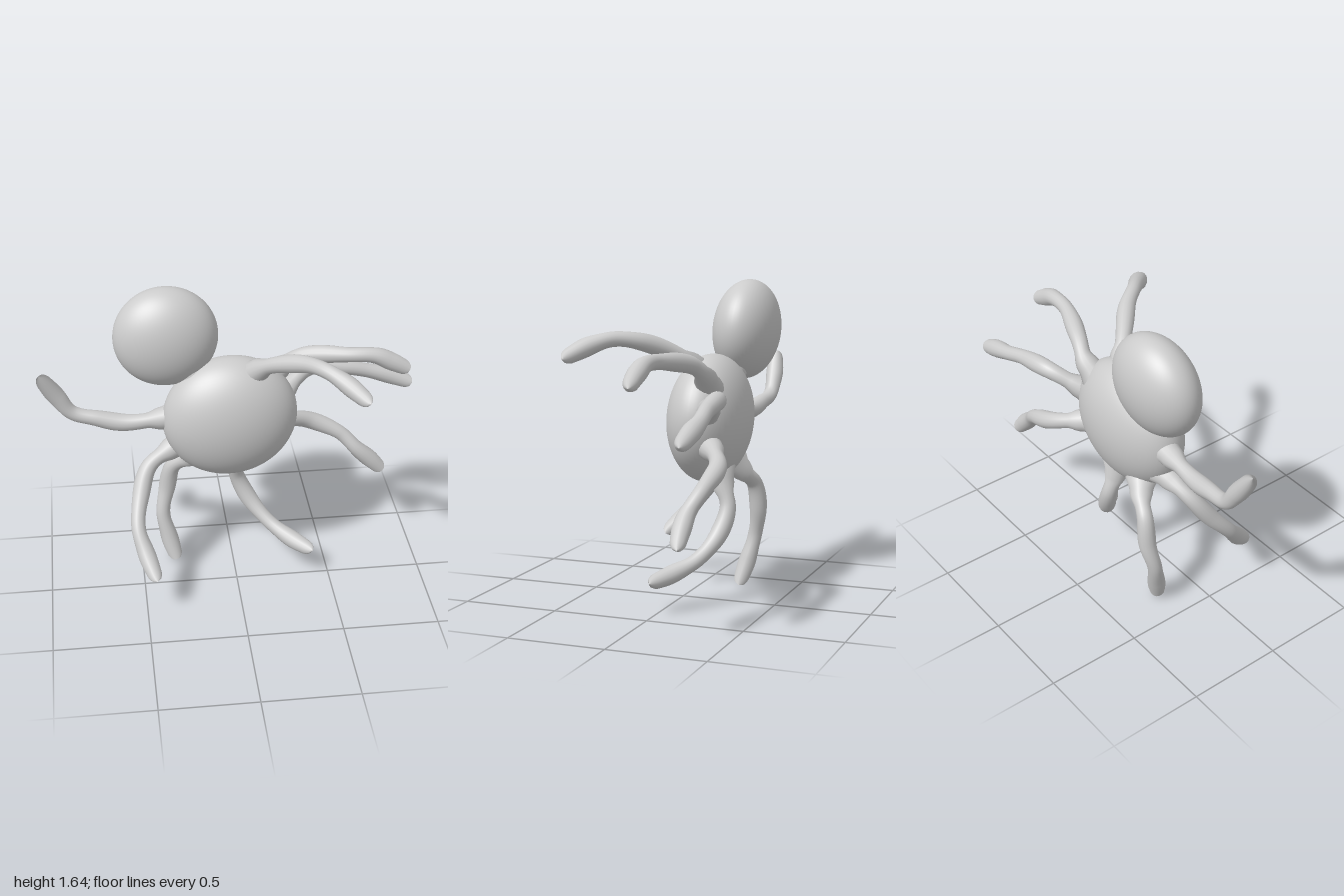
import * as THREE from 'three';

const grey = new THREE.MeshStandardMaterial({ color: 0xcccccc });

// Smooth ellipsoid mass
function blob(name, radii, position, rotation) {
  const mesh = new THREE.Mesh(new THREE.SphereGeometry(1, 56, 40), grey);
  mesh.name = name;
  mesh.scale.set(...radii);
  mesh.position.set(...position);
  mesh.rotation.set(...rotation);
  return mesh;
}

// Leg thickness from root (0) to foot (1): flared root, two swollen segments, narrow joints
const thickness = [[0, 0.085], [0.1, 0.06], [0.2, 0.04], [0.4, 0.047], [0.6, 0.038],
  [0.68, 0.038], [0.84, 0.047], [1, 0.037]];

function radiusAt(t) {
  const i = Math.max(1, thickness.findIndex(([u]) => u >= t));
  const [[a, ra], [b, rb]] = [thickness[i - 1], thickness[i]];
  const r = THREE.MathUtils.lerp(ra, rb, THREE.MathUtils.smoothstep(t, a, b));
  const k = Math.max(0, (t - 0.945) / 0.055);
  return r * Math.sqrt(Math.max(0, 1 - k * k)); // rounded foot
}

// Tube along a curve whose rings are scaled by the thickness profile
function leg(name, points) {
  const curve = new THREE.CatmullRomCurve3(points.map(p => new THREE.Vector3(...p)));
  const rings = 80, sides = 16;
  const geo = new THREE.TubeGeometry(curve, rings, 1, sides);
  const pos = geo.attributes.position, v = new THREE.Vector3();
  for (let i = 0; i <= rings; i++) {
    const centre = curve.getPointAt(i / rings), r = radiusAt(i / rings);
    for (let j = 0; j <= sides; j++) {
      const n = i * (sides + 1) + j;
      v.fromBufferAttribute(pos, n).sub(centre).multiplyScalar(r).add(centre);
      pos.setXYZ(n, v.x, v.y, v.z);
    }
  }
  const mesh = new THREE.Mesh(geo, grey);
  mesh.name = name;
  return mesh;
}

// Centre lines, each beginning inside the body
const legs = {
  rightUpperLeg: [[-0.29, 0.96, -0.16], [-0.4, 0.94, -0.165], [-0.56, 0.925, -0.175], [-0.7, 0.95, -0.19],
    [-0.83, 0.985, -0.205], [-0.9, 1.08, -0.205], [-0.985, 1.215, -0.19]],
  rightMiddleLeg: [[-0.25, 0.81, -0.16], [-0.34, 0.765, -0.14], [-0.45, 0.695, -0.1], [-0.505, 0.56, -0.01],
    [-0.525, 0.44, 0.09], [-0.495, 0.34, 0.17], [-0.445, 0.225, 0.28]],
  rightLowerLeg: [[-0.18, 0.72, -0.2], [-0.24, 0.64, -0.25], [-0.315, 0.57, -0.285], [-0.35, 0.42, -0.295],
    [-0.375, 0.28, -0.27], [-0.35, 0.15, -0.24], [-0.31, 0.005, -0.2]],
  lowerLeg: [[0.01, 0.71, -0.2], [0.015, 0.61, -0.225], [0.03, 0.5, -0.255], [0.095, 0.365, -0.225],
    [0.195, 0.255, -0.15], [0.3, 0.2, -0.06], [0.41, 0.165, 0.025]],
  leftLowerLeg: [[0.2, 0.85, -0.2], [0.3, 0.82, -0.28], [0.425, 0.775, -0.34], [0.6, 0.69, -0.325],
    [0.69, 0.605, -0.29], [0.76, 0.54, -0.285], [0.84, 0.455, -0.29]],
  leftMiddleLeg: [[0.22, 0.99, -0.19], [0.32, 1.05, -0.27], [0.43, 1.1, -0.34], [0.62, 1.075, -0.355],
    [0.75, 1.04, -0.37], [0.87, 1.005, -0.37], [0.99, 0.955, -0.36]],
  leftUpperLeg: [[0.18, 1.12, -0.2], [0.27, 1.195, -0.215], [0.36, 1.255, -0.185], [0.59, 1.29, -0.1],
    [0.72, 1.285, -0.085], [0.8, 1.25, -0.08], [0.9, 1.195, -0.08]],
  leftTopLeg: [[0.07, 1.18, -0.13], [0.13, 1.245, -0.085], [0.2, 1.3, -0.02], [0.33, 1.36, 0.1],
    [0.41, 1.375, 0.2], [0.49, 1.35, 0.285], [0.6, 1.285, 0.395]],
};

export function createModel() {
  const group = new THREE.Group();
  group.name = 'eightLeggedCreature';
  group.add(blob('body', [0.352, 0.328, 0.203], [-0.02, 0.95, -0.145], [-0.05, 0, 0.25]));
  group.add(blob('head', [0.268, 0.26, 0.168], [-0.337, 1.385, -0.23], [-0.09, 0, 0.2]));
  // Short bridge where the two masses meet
  group.add(blob('neck', [0.1, 0.085, 0.08], [-0.2, 1.18, -0.19], [0, 0, -0.9]));
  for (const [name, points] of Object.entries(legs)) group.add(leg(name, points));
  return group;
}
